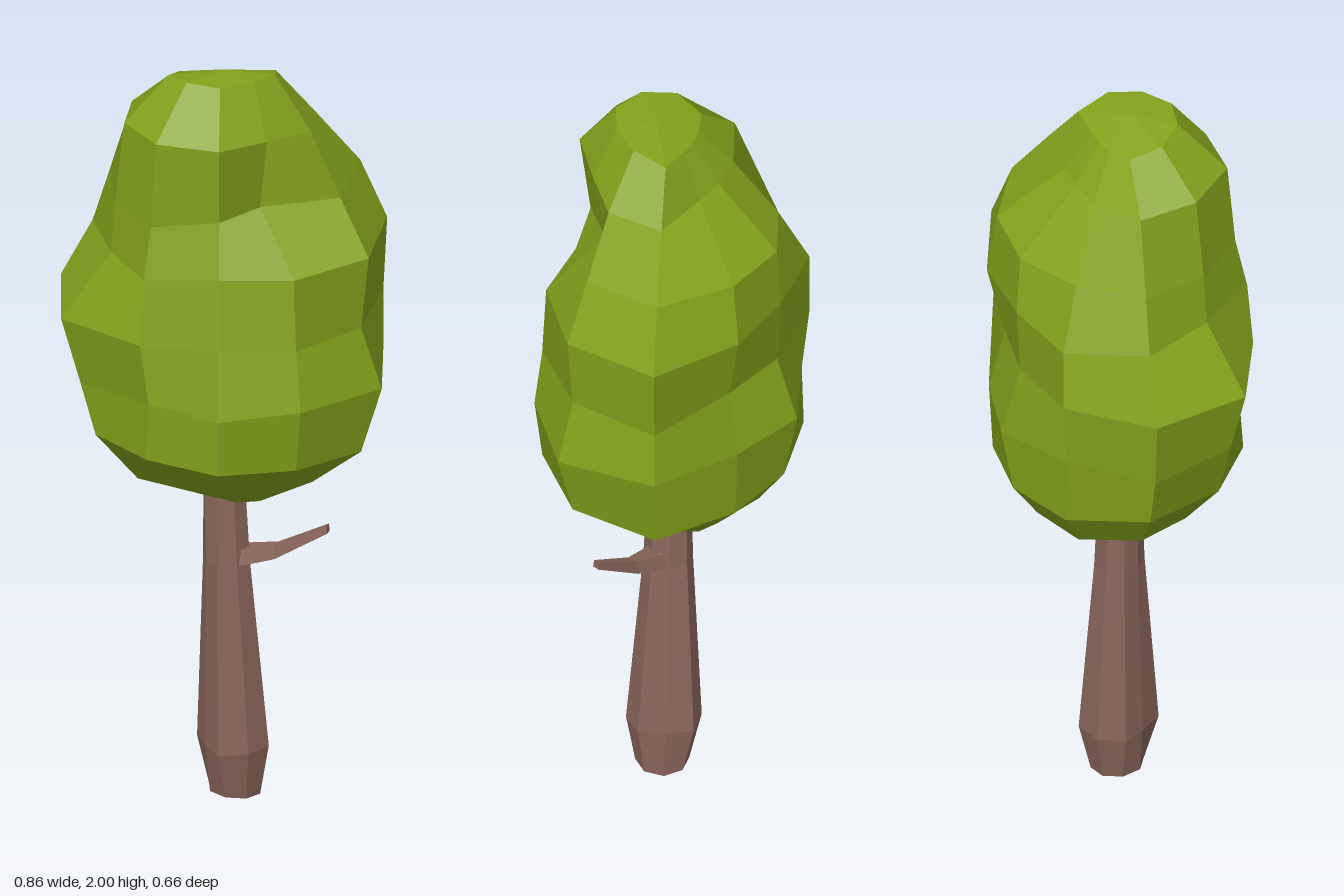
import * as THREE from 'three';

const leafMat = new THREE.MeshStandardMaterial({ color: 0x84a31c });
const barkMat = new THREE.MeshStandardMaterial({ color: 0x8a665b });

// Skin a stack of point rings with flat-shaded four-sided facets; close both ends with fans.
function loft(name, rings, material, start, end) {
  const pos = [];
  const nor = [];
  const facet = (a, b, c, d = a) => {
    const e = d === a ? b.clone().sub(a) : c.clone().sub(a);
    const f = d === a ? c.clone().sub(a) : d.clone().sub(b);
    const normal = e.cross(f).normalize();
    let corners = [a, b, c];
    if (d !== a) {
      // split along the shorter diagonal
      corners = a.distanceTo(c) < b.distanceTo(d) ? [a, b, c, a, c, d] : [a, b, d, b, c, d];
    }
    for (const p of corners) {
      pos.push(p.x, p.y, p.z);
      nor.push(normal.x, normal.y, normal.z);
    }
  };
  const middle = (ring) => ring.reduce((s, p) => s.add(p), new THREE.Vector3()).divideScalar(ring.length);
  const n = rings[0].length;
  const first = rings[0];
  const last = rings[rings.length - 1];
  const a = start || middle(first);
  const b = end || middle(last);
  for (let k = 0; k < n; k++) {
    const j = (k + 1) % n;
    facet(a, first[k], first[j]);
    facet(b, last[j], last[k]);
    for (let i = 0; i < rings.length - 1; i++) {
      facet(rings[i][k], rings[i + 1][k], rings[i + 1][j], rings[i][j]);
    }
  }
  const geo = new THREE.BufferGeometry();
  geo.setAttribute('position', new THREE.Float32BufferAttribute(pos, 3));
  geo.setAttribute('normal', new THREE.Float32BufferAttribute(nor, 3));
  const mesh = new THREE.Mesh(geo, material);
  mesh.name = name;
  return mesh;
}

// Horizontal ring: one radius per corner, from +x towards +z; tilt slopes it along x and z.
function ring(y, radii, cx = 0, tiltX = 0, tiltZ = 0) {
  return radii.map((r, k) => {
    const t = (k / radii.length) * Math.PI * 2;
    const x = r * Math.cos(t);
    const z = r * Math.sin(t);
    return new THREE.Vector3(cx + x, Math.min(2, y + tiltX * x + tiltZ * z), z);
  });
}

export function createModel() {
  const tree = new THREE.Group();
  tree.name = 'tree';

  // Lumpy ten-sided crown
  const crown = [
    ring(0.81, [0.10, 0.06, 0.03, 0.02, 0.03, 0.06, 0.12, 0.14, 0.14, 0.13], 0, 0, 0.08),
    ring(0.885, [0.24, 0.20, 0.16, 0.16, 0.22, 0.25, 0.26, 0.24, 0.23, 0.25]),
    ring(1.00, [0.37, 0.33, 0.335, 0.31, 0.33, 0.35, 0.34, 0.31, 0.32, 0.39], 0, -0.03, 0.06),
    ring(1.17, [0.425, 0.35, 0.35, 0.30, 0.37, 0.41, 0.335, 0.345, 0.33, 0.42]),
    ring(1.34, [0.37, 0.33, 0.29, 0.335, 0.42, 0.43, 0.355, 0.29, 0.29, 0.42], 0, -0.03),
    ring(1.52, [0.39, 0.32, 0.26, 0.32, 0.29, 0.345, 0.355, 0.30, 0.335, 0.43], 0, 0.01),
    ring(1.67, [0.315, 0.17, 0.22, 0.29, 0.28, 0.30, 0.275, 0.29, 0.31, 0.36], 0, 0.03, -0.05),
    ring(1.855, [0.235, 0.20, 0.25, 0.27, 0.255, 0.24, 0.16, 0.13, 0.14, 0.24], 0, -0.02, 0.07),
    ring(1.975, [0.14, 0.14, 0.15, 0.145, 0.14, 0.115, 0.07, 0.06, 0.07, 0.14], 0, 0.12, 0.3),
  ];
  tree.add(loft('crown', crown, leafMat,
    new THREE.Vector3(0.03, 0.79, -0.07), new THREE.Vector3(0.02, 2, 0.03)));

  // Eight-sided trunk, flared and slightly oval near the foot
  const foot = [0.097, 0.095, 0.105, 0.075, 0.094, 0.095, 0.1, 0.075];
  const trunk = [
    ring(0.008, Array(8).fill(0.068), 0.033, -0.06, 0.06),
    ring(0.14, foot, 0.027),
    ring(0.64, foot.map((r) => 0.03 + r * 0.34), 0.011),
    ring(0.87, Array(8).fill(0.055), 0.005),
  ];
  tree.add(loft('trunk', trunk, barkMat));

  // Four-sided side branch, broad where it leaves the trunk
  const branch = [
    [0.035, 0.64, 0.69, 0.042], [0.065, 0.642, 0.68, 0.036], [0.145, 0.665, 0.7, 0.02], [0.282, 0.752, 0.774, 0.01],
  ].map(([x, low, high, w]) => [
    new THREE.Vector3(x, low, w), new THREE.Vector3(x, high, w * 0.7),
    new THREE.Vector3(x, high, -w * 0.7), new THREE.Vector3(x, low, -w),
  ]);
  tree.add(loft('branch', branch, barkMat));

  return tree;
}
